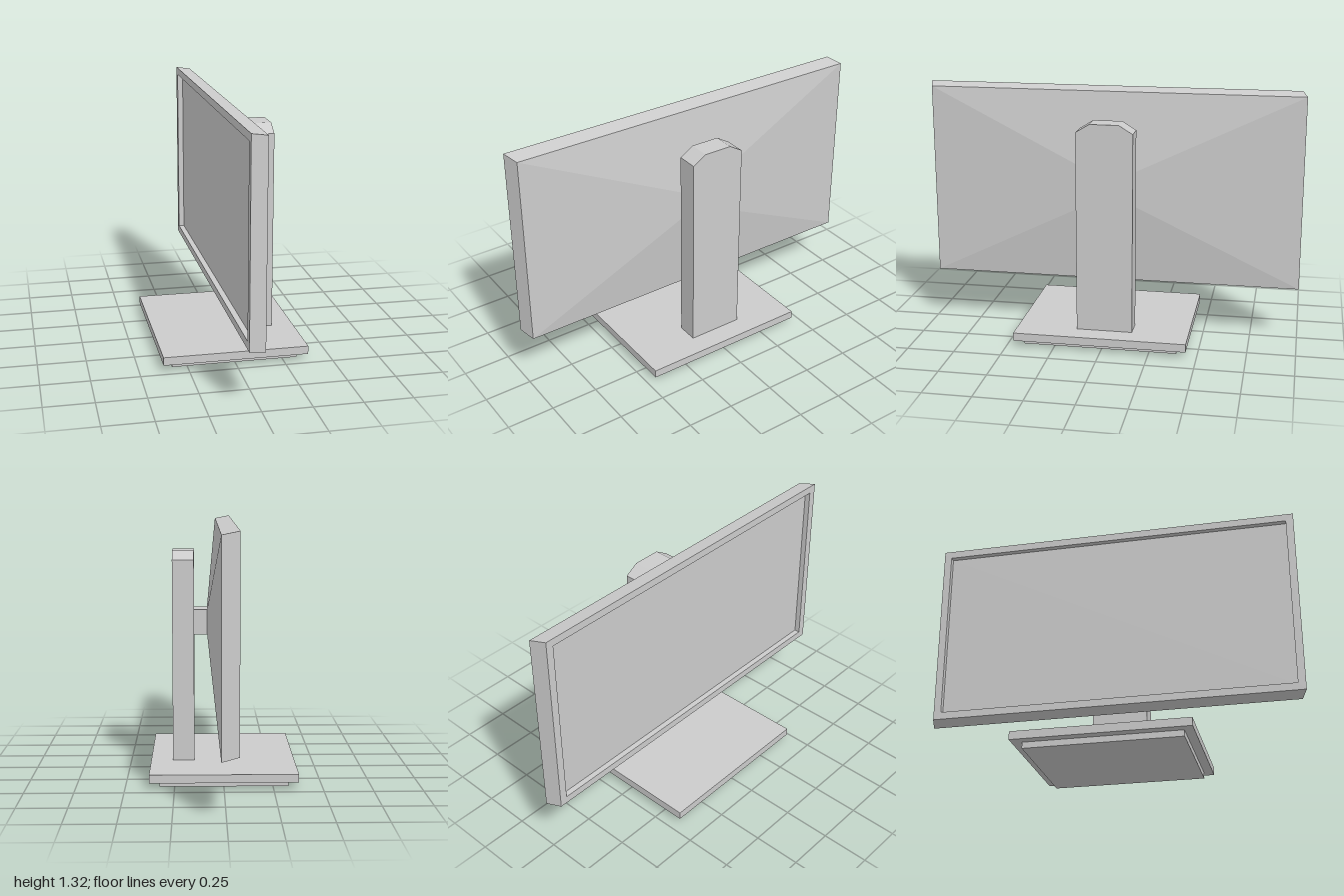
import * as THREE from 'three';

const grey = new THREE.MeshStandardMaterial({ color: 0xcccccc, flatShading: true });

function add(group, name, geometry) {
  const mesh = new THREE.Mesh(geometry, grey);
  mesh.name = name;
  group.add(mesh);
  return mesh;
}

// Box given by its limits on each axis
function block(group, name, [x0, x1], [y0, y1], [z0, z1]) {
  const mesh = add(group, name, new THREE.BoxGeometry(x1 - x0, y1 - y0, z1 - z0));
  mesh.position.set((x0 + x1) / 2, (y0 + y1) / 2, (z0 + z1) / 2);
}

// Joins rectangular sections [x, y0, y1, z0, z1] with flat walls
function loft(sections, capStart, capEnd) {
  const rings = sections.map(([x, y0, y1, z0, z1]) =>
    [[x, y0, z0], [x, y1, z0], [x, y1, z1], [x, y0, z1]]);
  const points = [];
  const quad = (a, b, c, d) => points.push(...a, ...b, ...c, ...a, ...c, ...d);
  for (let r = 0; r + 1 < rings.length; r++) {
    for (let i = 0; i < 4; i++) {
      const j = (i + 1) % 4;
      quad(rings[r][i], rings[r][j], rings[r + 1][j], rings[r + 1][i]);
    }
  }
  const [a, b, c, d] = rings[0];
  if (capStart) quad(d, c, b, a);
  if (capEnd) quad(...rings[rings.length - 1]);
  const geometry = new THREE.BufferGeometry();
  geometry.setAttribute('position', new THREE.Float32BufferAttribute(points, 3));
  geometry.computeVertexNormals();
  return geometry;
}

export function createModel() {
  const model = new THREE.Group();
  model.name = 'monitor';

  // Base plate and the smaller foot pad under it
  block(model, 'footPad', [-0.328, 0.328], [0, 0.032], [-0.392, 0.415]);
  block(model, 'basePlate', [-0.378, 0.378], [0.032, 0.075], [-0.445, 0.462]);

  // Upright with a chamfered top, extruded along x
  const outline = new THREE.Shape([
    [-0.147, 0.075], [0.147, 0.075], [0.147, 1.133],
    [0.075, 1.177], [-0.075, 1.177], [-0.147, 1.133],
  ].map(([u, y]) => new THREE.Vector2(u, y)));
  const column = add(model, 'column',
    new THREE.ExtrudeGeometry(outline, { depth: 0.113, bevelEnabled: false }));
  column.rotation.y = Math.PI / 2;
  column.position.set(0.15, 0, -0.002);

  // Short arm between column and display
  block(model, 'mountArm', [0.08, 0.15], [0.735, 0.867], [-0.075, 0.067]);

  // Slightly skewed case: recess, bezel, sides and tapering back
  const recess = [-0.03, 0.34, 1.282, -0.935, 0.955];
  const opening = [-0.06, ...recess.slice(1)];
  add(model, 'displayCase', loft([
    recess,
    opening,
    [-0.06, 0.3, 1.322, -0.975, 0.996],
    [0.025, 0.283, 1.306, -1, 0.97],
    [0.081, 0.735, 0.867, -0.075, 0.067],
  ], false, true));

  // Sunken screen panel
  add(model, 'screen', loft([recess], true, false));

  return model;
}
